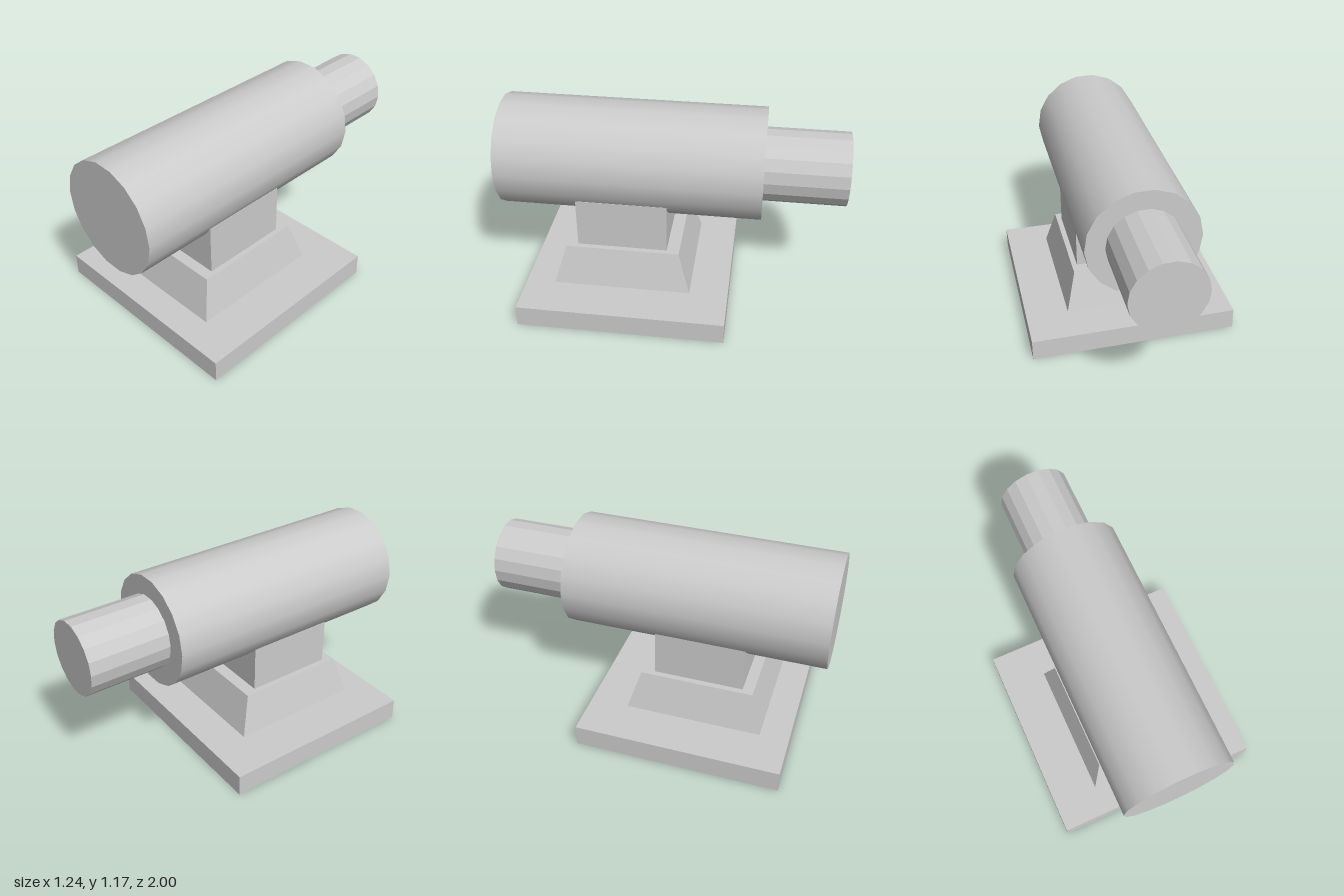
import * as THREE from 'three';

const smooth = new THREE.MeshStandardMaterial({ color: 0xcccccc });
const faceted = new THREE.MeshStandardMaterial({ color: 0xcccccc, flatShading: true });

export function createModel() {
  const model = new THREE.Group();

  function add(name, geometry, material) {
    const mesh = new THREE.Mesh(geometry, material);
    mesh.name = name;
    model.add(mesh);
    return mesh;
  }

  // Box between two heights, centred on (x, z)
  function block(width, depth, y0, y1, x, z) {
    return new THREE.BoxGeometry(width, y1 - y0, depth).translate(x, (y0 + y1) / 2, z);
  }

  // 18-sided cylinder lying along z
  function lyingCylinder(radius, z0, z1) {
    const start = THREE.MathUtils.degToRad(88.7);
    return new THREE.CylinderGeometry(radius, radius, z1 - z0, 18, 1, false, start)
      .rotateX(Math.PI / 2)
      .translate(0, 0.842, (z0 + z1) / 2);
  }

  // Base plate
  add('basePlate', block(1.244, 1.215, 0, 0.13, 0, 0.247), faceted);

  // Tapered foot: a box whose top corners are drawn in
  const foot = new THREE.BoxGeometry(0.722, 0.235, 0.814);
  const p = foot.attributes.position;
  for (let i = 0; i < p.count; i++) {
    if (p.getY(i) > 0) {
      p.setX(i, Math.sign(p.getX(i)) * 0.3);
      p.setZ(i, Math.sign(p.getZ(i)) * 0.336);
    }
  }
  foot.translate(0.006, 0.2475, 0.275);
  foot.computeVertexNormals();
  add('taperedFoot', foot, faceted);

  // Square post carrying the barrel
  add('post', block(0.534, 0.531, 0.365, 0.667, 0.007, 0.28), faceted);

  // Main barrel and narrower rear stub
  add('barrel', lyingCylinder(0.328, -0.525, 1), smooth);
  add('rearStub', lyingCylinder(0.214, -1, -0.525), faceted);

  return model;
}
